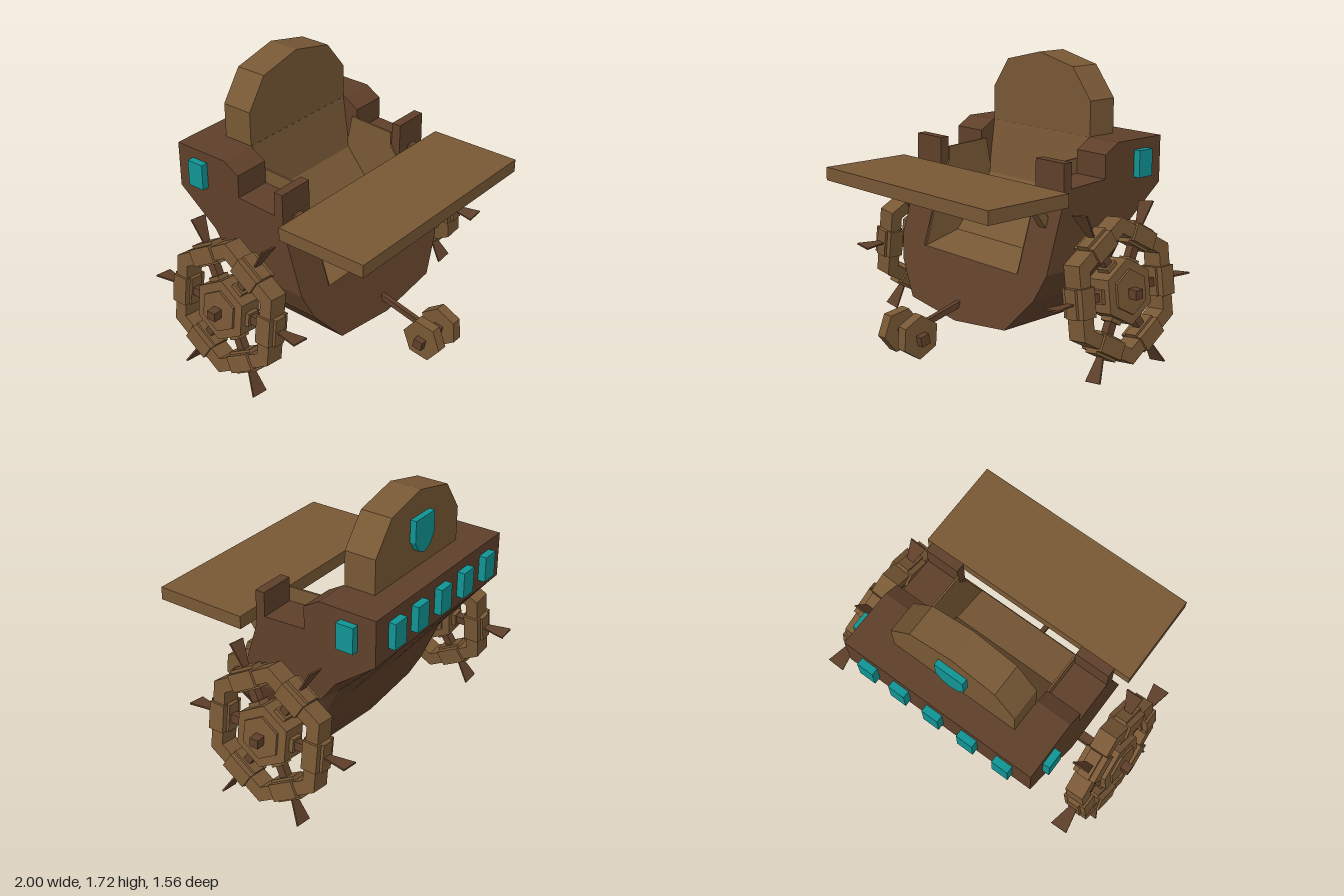
import * as THREE from 'three';

const mat = (color) => new THREE.MeshStandardMaterial({ color, flatShading: true, side: THREE.DoubleSide });

export function createModel() {
  const model = new THREE.Group();
  const brown = mat(0x5f402a), tan = mat(0x785835), teal = mat(0x119494);

  const add = (name, geo, material, parent = model) => {
    const mesh = new THREE.Mesh(geo, material);
    mesh.name = name;
    parent.add(mesh);
    return mesh;
  };
  // Box given by its lower and upper bounds on each axis
  const box = (name, material, [x0, x1], [y0, y1], [z0, z1], parent = model) => {
    const mesh = add(name, new THREE.BoxGeometry(x1 - x0, y1 - y0, z1 - z0), material, parent);
    mesh.position.set((x0 + x1) / 2, (y0 + y1) / 2, (z0 + z1) / 2);
    return mesh;
  };
  const shapeOf = (pts) => new THREE.Shape(pts.map(([a, b]) => new THREE.Vector2(a, b)));
  const extrude = (pts, depth) => new THREE.ExtrudeGeometry(shapeOf(pts), { depth, bevelEnabled: false });
  // Side profile of (z, y) points, extruded from x0 to x1
  const sideExtrude = (pts, x0, x1) => extrude(pts, x1 - x0).rotateY(-Math.PI / 2).translate(x1, 0, 0);

  // Hull: U-shaped sections shrinking towards the rear ledge
  const half = [[0.645, 1], [0.645, 0.6], [0.59, 0.45], [0.42, 0.25], [0, 0.205]];
  const section = [...half.map(([x, y]) => [-x, y]), ...half.slice(0, -1).reverse()];
  const stations = [ // depth factor, z at the bottom, z at the rim
    [1, 0.31, 0.06], [0.99, -0.28, -0.33], [0.8, -0.36, -0.42], [0.5, -0.43, -0.52], [0, -0.735, -0.735],
  ];
  const pos = [], index = [], n = section.length;
  stations.forEach(([f, zb, zt], i) => {
    section.forEach(([x, y], j) => {
      pos.push(x, 1 - (1 - y) * f, zt + (zb - zt) * (1 - y) / 0.8);
      if (i && j) {
        const a = (i - 1) * n + j - 1, b = i * n + j - 1;
        index.push(a, b, a + 1, a + 1, b, b + 1);
      }
    });
  });
  const hull = new THREE.BufferGeometry();
  hull.setAttribute('position', new THREE.Float32BufferAttribute(pos, 3));
  hull.setIndex(index);
  hull.computeVertexNormals();
  add('hull', hull, brown);

  // Sloping hull front with the seat opening
  const front = new THREE.ShapeGeometry(shapeOf([...section, [0.42, 1], [0.42, 0.56], [-0.42, 0.56], [-0.42, 1]]));
  const fp = front.attributes.position;
  for (let i = 0; i < fp.count; i++) fp.setZ(i, 0.06 + (1 - fp.getY(i)) * 0.25 / 0.8);
  front.computeVertexNormals();
  add('hullFront', front, brown);

  // Rear deck and side walls with stepped arms
  box('rearDeck', brown, [-0.42, 0.42], [1, 1.28], [-0.735, -0.4]);
  const arm = [[0.06, 1], [0.06, 1.215], [0, 1.215], [0, 1.065], [-0.27, 1.08], [-0.27, 1.22],
    [-0.37, 1.28], [-0.735, 1.28], [-0.735, 1]];
  const lining = [[0, 1.155], [-0.3, 1.17], [-0.35, 0.93], [-0.06, 0.58], [0.19, 0.56], [0.06, 0.98], [0, 1.07]];
  for (const s of [-1, 1]) {
    const span = (a, b) => (s > 0 ? [a, b] : [-b, -a]);
    add('sideWall', sideExtrude(arm, ...span(0.42, 0.645)), brown);
    add('seatLining', sideExtrude(lining, ...span(0.408, 0.42)), tan);
    box('sideWindow', teal, span(0.64, 0.688), [1.06, 1.22], [-0.62, -0.51]);
    box('tableHinge', brown, span(0.5, 0.56), [1.025, 1.055], [0.05, 0.12]);
    // Table brace
    const brace = [[0.225, 0.995], [0.155, 0.995], [0.07, 0.87], [0.07, 0.79]];
    add('tableBrace', sideExtrude(brace, ...span(0.5, 0.557)), tan);
  }

  // Seat pan, backrest and table
  add('seat', sideExtrude([[-0.375, 1.28], [-0.33, 0.95], [-0.06, 0.62], [0.195, 0.56], [0.2, 0.54],
    [-0.1, 0.57], [-0.36, 0.9], [-0.42, 1.28]], -0.415, 0.415), tan);
  add('backrest', extrude([[-0.418, 1.2], [0.418, 1.2], [0.418, 1.49], [0.27, 1.675], [-0.01, 1.74],
    [-0.29, 1.675], [-0.418, 1.49]], 0.197).translate(0, 0, -0.573), tan);
  box('table', tan, [-0.73, 0.73], [0.99, 1.07], [0.105, 0.69]);

  // Rear windows and backrest plate
  for (const x of [-0.467, -0.225, 0.015, 0.25, 0.472])
    box('rearWindow', teal, [x - 0.054, x + 0.054], [1.065, 1.222], [-0.78, -0.73]);
  add('backPlate', extrude([[-0.105, 1.595], [-0.105, 1.46], [-0.065, 1.4], [-0.01, 1.378], [0.045, 1.4],
    [0.085, 1.46], [0.085, 1.595]], 0.04).translate(0, 0, -0.61), teal);

  // Small front rollers on a rod
  const rod = box('rollerRod', brown, [-0.015, 0.015], [-0.018, 0.018], [-0.2, 0.2]);
  rod.position.set(-0.007, 0.257, 0.45);
  rod.rotation.x = 0.24;
  const rollerAxle = box('rollerAxle', brown, [-0.165, 0.152], [-0.03, 0.03], [-0.03, 0.03]);
  rollerAxle.position.set(-0.006, 0.203, 0.65);
  rollerAxle.rotation.x = 0.2;
  [[-0.092, 0.15], [0.078, 0.45]].forEach(([x, turn]) => {
    const roller = add('roller', new THREE.CylinderGeometry(0.13, 0.13, 0.066, 6).rotateZ(Math.PI / 2), tan);
    roller.position.set(x, 0.21, 0.65);
    roller.rotation.x = turn;
  });

  // Spiked hexagonal wheels, leaning inwards at the top; local axis is x
  const hexagon = (r) => Array.from({ length: 6 }, (_, i) =>
    [r * Math.sin(i * Math.PI / 3), r * Math.cos(i * Math.PI / 3)]);
  const buildWheel = () => {
    const wheel = new THREE.Group();
    wheel.name = 'wheel';
    const ring = shapeOf(hexagon(0.42));
    ring.holes.push(shapeOf(hexagon(0.328)));
    add('rim', new THREE.ExtrudeGeometry(ring, { depth: 0.12, bevelEnabled: false })
      .translate(0, 0, -0.06).rotateY(-Math.PI / 2), tan, wheel);
    add('hub', sideExtrude(hexagon(0.19), -0.075, 0.075), tan, wheel);
    add('hubCore', sideExtrude(hexagon(0.13), -0.09, 0.09), tan, wheel);
    for (let i = 0; i < 6; i++) {
      const arm = new THREE.Group();
      arm.name = 'wheelSector';
      arm.rotation.x = (i + 0.5) * Math.PI / 3;
      wheel.add(arm);
      box('spoke', brown, [-0.025, 0.025], [0.14, 0.3], [-0.025, 0.025], arm);
      box('spokeCollar', tan, [-0.04, 0.04], [0.15, 0.19], [-0.04, 0.04], arm);
      box('rimPlate', tan, [-0.075, 0.075], [0.275, 0.375], [-0.085, 0.085], arm);
      box('rimPad', tan, [-0.04, 0.04], [0.26, 0.392], [-0.085, 0.085], arm);
      add('spike', extrude([[-0.022, 0.38], [0.022, 0.38], [0.055, 0.54], [-0.055, 0.54]], 0.01)
        .translate(0, 0, -0.005), brown, arm);
    }
    return wheel;
  };
  for (const s of [-1, 1]) {
    const wheel = buildWheel();
    wheel.position.set(s * 0.855, 0.49, -0.185);
    wheel.rotation.z = s * 0.13;
    model.add(wheel);
  }
  box('axle', brown, [-1, 1], [0.47, 0.525], [-0.215, -0.158]);

  return model;
}
